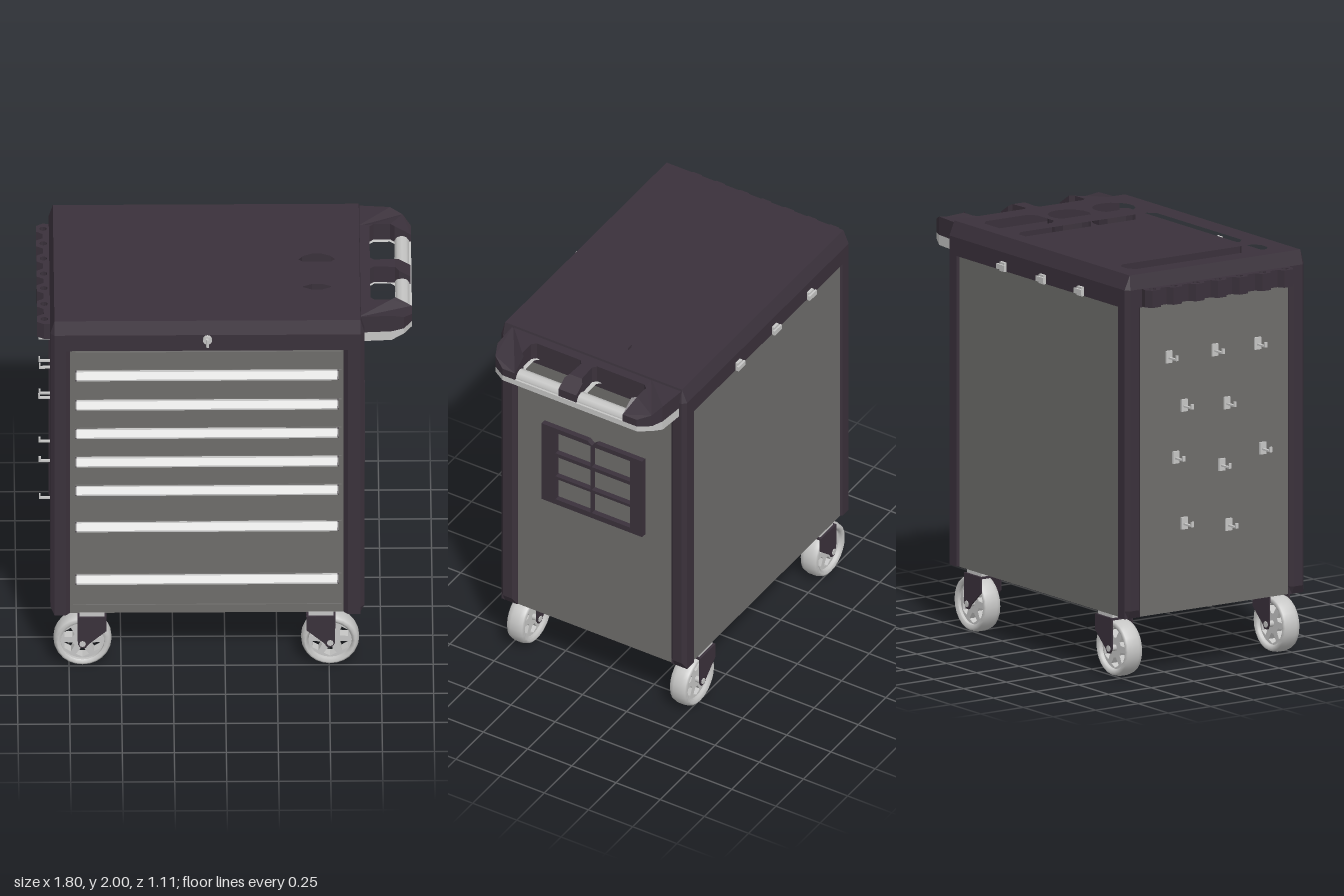
import * as THREE from 'three';

const mat = (name, color, side = THREE.FrontSide) => {
  const m = new THREE.MeshStandardMaterial({ color, side });
  m.name = name;
  return m;
};

export function createModel() {
  const root = new THREE.Group();
  root.name = 'toolCart';
  const dark = mat('dark plum plastic', 0x3a313b);
  const gray = mat('gray steel', 0x6e6d6b);
  const silver = mat('silver metal', 0xc6c6c5);

  const add = (name, geo, m, parent = root) => {
    const mesh = new THREE.Mesh(geo, m);
    mesh.name = name;
    parent.add(mesh);
    return mesh;
  };
  // box given by its min and max corners
  const box = (name, m, x0, x1, y0, y1, z0, z1, parent = root) =>
    add(name, new THREE.BoxGeometry(x1 - x0, y1 - y0, z1 - z0)
      .translate((x0 + x1) / 2, (y0 + y1) / 2, (z0 + z1) / 2), m, parent);
  const poly = pts => pts.map(([a, b]) => new THREE.Vector2(a, b));
  // rectangle with cut corners
  const cutRect = (a0, a1, b0, b1, c) => [
    [a0 + c, b0], [a1 - c, b0], [a1, b0 + c], [a1, b1 - c],
    [a1 - c, b1], [a0 + c, b1], [a0, b1 - c], [a0, b0 + c]];
  const circle = (x, y, r, n) => Array.from({ length: n }, (_, i) => {
    const t = i / n * Math.PI * 2;
    return [x + r * Math.cos(t), y + r * Math.sin(t)];
  });
  const extrude = (pts, depth, holes = []) => {
    const s = new THREE.Shape(poly(pts));
    s.holes = holes.map(h => new THREE.Path(poly(h)));
    return new THREE.ExtrudeGeometry(s, { depth, bevelEnabled: false, curveSegments: 8 });
  };
  // (x, z) outline raised from y0 to y1
  const plan = (pts, y0, y1, holes = []) => {
    const flip = l => l.map(([x, z]) => [x, -z]);
    return extrude(flip(pts), y1 - y0, holes.map(flip)).rotateX(-Math.PI / 2).translate(0, y0, 0);
  };
  const bend = (geo, rule) => {
    const p = geo.attributes.position, v = new THREE.Vector3();
    for (let i = 0; i < p.count; i++) {
      rule(v.fromBufferAttribute(p, i));
      p.setXYZ(i, v.x, v.y, v.z);
    }
    geo.computeVertexNormals();
    return geo;
  };
  const clamp = THREE.MathUtils.clamp;

  // Cabinet
  box('cabinet', gray, -0.815, 0.645, 0.31, 1.86, -0.52, 0.5);

  // Corner posts, narrowed at the foot
  for (const [x0, x1] of [[-0.84, -0.745], [0.57, 0.67]])
    for (const [z0, z1] of [[-0.53, -0.44], [0.43, 0.52]])
      add('cornerPost', bend(plan(cutRect(x0, x1, z0, z1, 0.02), 0.31, 1.85).toNonIndexed?.() ??
        null, v => v), dark);
  root.children.filter(c => c.name === 'cornerPost').forEach(c => {
    // chamfered lower end: pull the bottom ring inwards after adding a short taper foot
    c.geometry = bend(c.geometry, v => { if (v.y < 0.32) v.y = 0.35; });
    const b = new THREE.Box3().setFromBufferAttribute(c.geometry.attributes.position);
    add('postFoot', bend(plan(cutRect(b.min.x, b.max.x, b.min.z, b.max.z, 0.02), 0.31, 0.35),
      v => { if (v.y < 0.32) v.x = clamp(v.x, -0.82, 0.65); }), dark);
  });

  // Top slab: solid base, then a tapered layer with recesses
  const foot = cutRect(-0.84, 0.67, -0.53, 0.52, 0.02);
  add('topBase', plan(foot, 1.84, 1.93), dark);
  const tray = cutRect(-0.72, -0.6, -0.42, 0.4, 0.03);
  const work = cutRect(-0.52, 0.26, -0.42, 0.39, 0.035);
  const cups = [cutRect(0.34, 0.55, -0.42, -0.11, 0.035),
    circle(0.445, 0.03, 0.105, 14), circle(0.445, 0.29, 0.105, 14)];
  add('topTray', bend(plan(foot, 1.93, 2, [tray, work, ...cups]), v => {
    if (v.y > 1.99) { v.x = clamp(v.x, -0.82, 0.65); v.z = clamp(v.z, -0.5, 0.5); }
  }), dark);
  add('workSurface', plan(work, 1.92, 1.975), dark);
  add('trayFloor', plan(tray, 1.92, 1.96), dark);

  // Drawers with wedge pulls
  const pulls = [1.7, 1.53, 1.365, 1.2, 1.035, 0.825, 0.52];
  box('topDrawerPanel', gray, -0.72, 0.56, 1.725, 1.825, 0.49, 0.51);
  pulls.forEach((y, i) => {
    const low = i < 6 ? pulls[i + 1] + 0.025 : 0.37;
    box('drawerFront', gray, -0.72, 0.56, low, y + 0.018, 0.49, 0.51);
    const wedge = [[-0.505, y + 0.018], [-0.52, y + 0.018], [-0.545, y - 0.01], [-0.545, y - 0.018], [-0.505, y - 0.018]];
    add('drawerPull', extrude(wedge, 1.255).rotateY(Math.PI / 2).translate(-0.715, 0, 0), silver);
    for (const x of [-0.719, 0.541])
      add('pullEndCap', extrude(wedge, 0.004).rotateY(Math.PI / 2).translate(x, 0, 0), dark);
  });
  box('lowerRail', gray, -0.73, 0.56, 0.33, 0.36, 0.49, 0.507);

  // Lock and key
  add('lock', new THREE.CylinderGeometry(0.022, 0.022, 0.02, 12).rotateX(Math.PI / 2).translate(-0.085, 1.908, 0.527), silver);
  box('key', silver, -0.091, -0.079, 1.88, 1.922, 0.535, 0.555);

  // Side handle: silver underframe, dark arms, bridge and grip
  const outline = [[0.64, -0.5], [0.8, -0.485], [0.86, -0.46], [0.9, -0.4],
    [0.9, 0.36], [0.86, 0.425], [0.8, 0.45], [0.64, 0.46]];
  add('handleUnderframe', bend(plan(outline, 1.85, 1.9,
    [cutRect(0.7, 0.82, -0.32, -0.06, 0.02), cutRect(0.7, 0.82, 0.04, 0.29, 0.02)]),
  v => { if (v.y < 1.86 && v.x > 0.85) v.y += 0.02; }), silver);
  const slope = v => { if (v.y > 1.95) v.y -= 0.01 + 0.05 * clamp((v.x - 0.82) / 0.08, 0, 1); };
  const arms = [
    [[0.64, -0.5], [0.8, -0.485], [0.86, -0.46], [0.9, -0.4], [0.9, -0.32], [0.82, -0.32], [0.8, -0.34], [0.72, -0.34], [0.7, -0.32], [0.64, -0.32]],
    [[0.64, 0.46], [0.8, 0.45], [0.86, 0.425], [0.9, 0.36], [0.9, 0.29], [0.82, 0.29], [0.8, 0.31], [0.72, 0.31], [0.7, 0.29], [0.64, 0.29]].reverse(),
    [[0.64, -0.33], [0.7, -0.33], [0.7, 0.3], [0.64, 0.3]],
    [[0.69, -0.06], [0.72, -0.035], [0.82, -0.04], [0.84, -0.055], [0.895, -0.055], [0.895, 0.045], [0.84, 0.045], [0.82, 0.03], [0.72, 0.025], [0.69, 0.05]]];
  for (const a of arms) add('handleArm', bend(plan(a, 1.9, 2), slope), dark);
  add('handleGrip', new THREE.CylinderGeometry(0.036, 0.036, 0.64, 10).rotateX(Math.PI / 2).translate(0.855, 1.898, -0.015), silver);

  // Document rack on the handle side
  const rack = [];
  for (const [y0, y1] of [[1.06, 1.185], [1.2, 1.32], [1.34, 1.465]])
    for (const [u0, u1] of [[-0.2, -0.004], [0.004, 0.22]])
      rack.push([[u0, y0], [u1, y0], [u1, y1], [u0, y1]]);
  add('documentRack', extrude([[-0.28, 1.03], [0.29, 1.03], [0.29, 1.49], [0.03, 1.49], [0.005, 1.47], [-0.02, 1.49], [-0.28, 1.49]],
    0.03, rack).rotateY(Math.PI / 2).translate(0.643, 0, 0), dark);

  // Tool rail on the other side: bumps with holes
  const slots = [-0.4, -0.275, -0.145, -0.015, 0.11, 0.245, 0.375];
  const edge = [[-0.83, -0.44]];
  for (const z of slots)
    edge.push([-0.87, z - 0.045], [-0.902, z - 0.025], [-0.902, z + 0.025], [-0.87, z + 0.045]);
  edge.push([-0.83, 0.42]);
  add('toolRail', plan(edge, 1.845, 1.93, slots.map(z => circle(-0.868, z, 0.018, 8))), dark);

  // Hooks under the rail: [y, z]
  for (const [y, z] of [[1.57, -0.27], [1.57, 0], [1.57, 0.25], [1.32, -0.18], [1.3, 0.07],
    [1.07, -0.23], [1, 0.04], [1.05, 0.28], [0.74, -0.18], [0.7, 0.08]]) {
    const hook = new THREE.Group();
    hook.name = 'hook';
    root.add(hook);
    box('hookPlate', silver, -0.825, -0.812, y - 0.03, y + 0.03, z - 0.018, z + 0.018, hook);
    box('hookArm', silver, -0.885, -0.82, y - 0.008, y, z - 0.007, z + 0.007, hook);
    box('hookTip', silver, -0.892, -0.884, y - 0.008, y + 0.018, z - 0.007, z + 0.007, hook);
  }

  // Rear latches
  for (const x of [-0.46, -0.14, 0.19]) {
    box('rearLatch', silver, x - 0.02, x + 0.02, 1.84, 1.885, -0.545, -0.52);
    box('rearLatchLip', silver, x - 0.032, x + 0.032, 1.85, 1.875, -0.555, -0.543);
  }

  // Casters: rounded tyre, spoked disc, fork and mount
  const tyre = new THREE.LatheGeometry(poly([[0.105, -0.04], [0.12, -0.05], [0.132, -0.042], [0.139, -0.02],
    [0.139, 0.02], [0.132, 0.042], [0.12, 0.05], [0.105, 0.04], [0.105, -0.04]]), 24).rotateX(Math.PI / 2);
  const windows = Array.from({ length: 6 }, (_, i) => {
    const at = (r, o) => {
      const t = (i + 0.5) * Math.PI / 3 + o;
      return [r * Math.cos(t), r * Math.sin(t)];
    };
    return [at(0.05, -0.18), at(0.088, -0.36), at(0.099, 0), at(0.088, 0.36), at(0.05, 0.18)];
  });
  const disc = extrude(circle(0, 0, 0.108, 24), 0.05, windows).translate(0, 0, -0.025);
  const axle = new THREE.CylinderGeometry(0.016, 0.016, 0.132, 8).rotateX(Math.PI / 2);
  const forkSide = extrude([[0.015, 0.14], [0.03, 0.118], [0.055, 0.118], [0.068, 0.14], [0.07, 0.285], [-0.07, 0.285], [-0.07, 0.215]], 0.008);
  for (const [x, d] of [[-0.64, -1], [0.46, 1]])
    for (const z of [0.455, -0.467]) {
      const c = new THREE.Group();
      c.name = 'caster';
      c.position.set(x, 0, z);
      if (d < 0) c.rotation.y = Math.PI;
      root.add(c);
      for (const [n, g, m] of [['tyre', tyre, silver], ['wheelDisc', disc, silver], ['axle', axle, silver]])
        add(n, g, m, c).position.set(0.045, 0.142, 0);
      for (const s of [-0.062, 0.054]) add('forkSide', forkSide, dark, c).position.z = s;
      box('forkTop', dark, -0.07, 0.07, 0.283, 0.293, -0.062, 0.062, c);
      box('mountPlate', silver, -0.06, 0.06, 0.293, 0.312, -0.05, 0.05, c);
    }
  return root;
}
